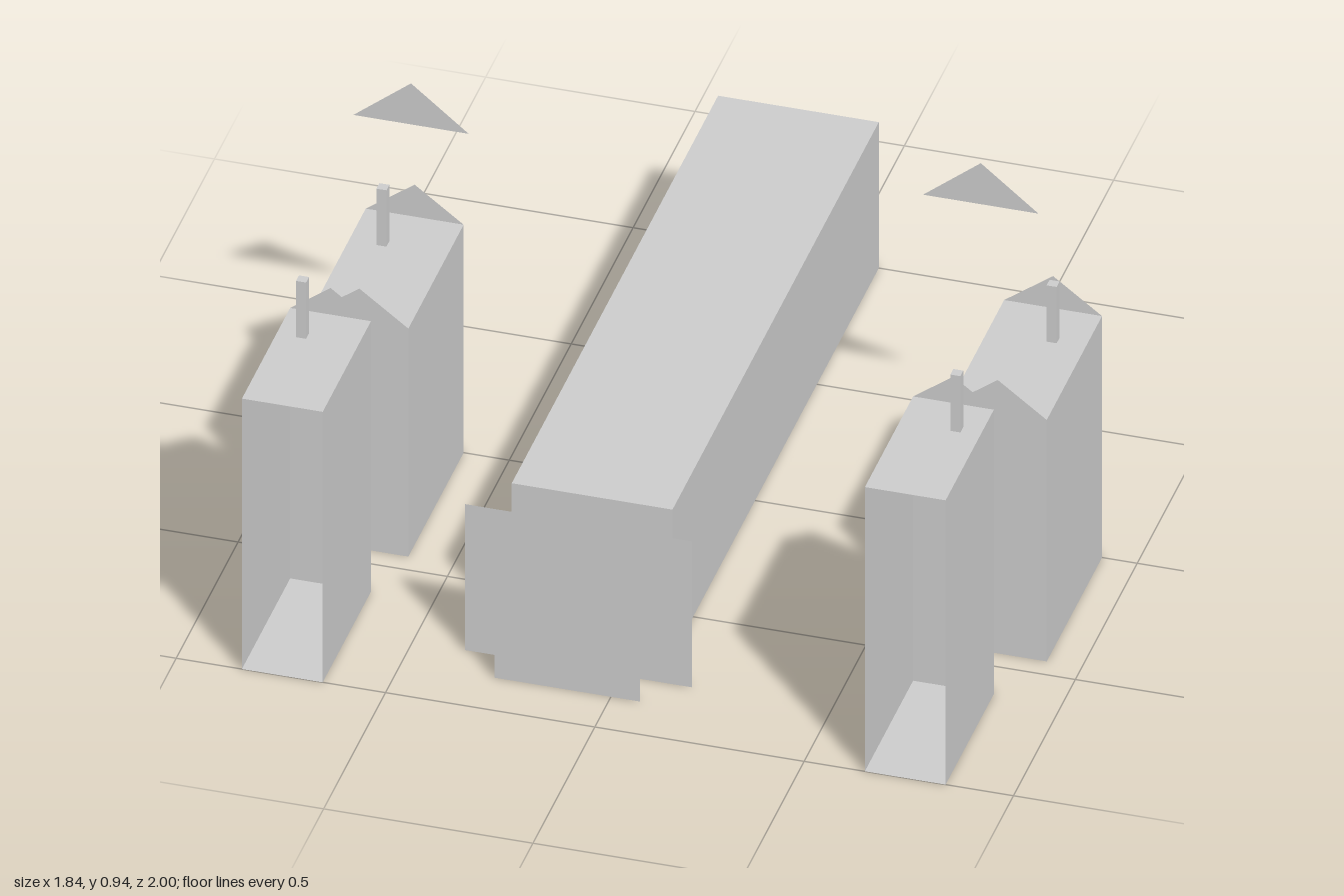
import * as THREE from 'three';

const material = new THREE.MeshStandardMaterial({
  color: 0xcccccc, flatShading: true, side: THREE.DoubleSide,
});

function part(geometry, name, parent) {
  const mesh = new THREE.Mesh(geometry, material);
  mesh.name = name;
  parent.add(mesh);
  return mesh;
}

// Rectangular tube along z: floor, roof and two side walls, both ends open
function tube(name, x0, x1, height, z0, z1, parent) {
  const geometry = new THREE.BoxGeometry(x1 - x0, height, z1 - z0);
  geometry.setIndex(Array.from(geometry.index.array).slice(0, 24));
  geometry.clearGroups();
  part(geometry, name, parent).position.set((x0 + x1) / 2, height / 2, (z0 + z1) / 2);
}

// Flat upright panel at depth z, from a list of [x, y] corners
function panel(name, corners, z, parent) {
  const shape = new THREE.Shape(corners.map(([x, y]) => new THREE.Vector2(x, y)));
  part(new THREE.ShapeGeometry(shape), name, parent).position.z = z;
}

const rectangle = (x0, x1, h) => [[x0, 0], [x1, 0], [x1, h], [x0, h]];

// Flat-roofed house with pentagonal gable walls at the given depths and a chimney
function house({ name, x0, x1, height, peak, z0, z1, gables, chimney }, parent) {
  const group = new THREE.Group();
  group.name = name;
  tube('houseWalls', x0, x1, height, z0, z1, group);
  const outline = [[x0, 0], [x1, 0], [x1, height], [(x0 + x1) / 2, height + peak], [x0, height]];
  for (const z of gables) panel('gableWall', outline, z, group);
  part(new THREE.BoxGeometry(0.024, 0.155, 0.024), 'chimney', group)
    .position.set(chimney[0], height + 0.0775, chimney[1]);
  parent.add(group);
}

export function createModel() {
  const model = new THREE.Group();
  model.name = 'houseCluster';

  // Long central hall, closed in front and open at the back
  tube('hallWalls', -0.297, 0.087, 0.402, -1, 0.667, model);
  panel('hallFrontWall', rectangle(-0.297, 0.087, 0.402), 0.667, model);

  // Two free-standing panels before the hall
  panel('wideFrontPanel', rectangle(-0.375, 0.167, 0.402), 0.78, model);
  panel('narrowFrontPanel', rectangle(-0.278, 0.07, 0.4), 0.87, model);

  // Front houses are open to the front, rear houses have both gables
  const front = { z0: 0.61, z1: 1, gables: [0.61], peak: 0.073 };
  const rear = { z0: 0, z1: 0.447, gables: [0, 0.447], peak: 0.088 };
  house({ ...front, name: 'frontLeftHouse', x0: 0.645, x1: 0.838, height: 0.783, chimney: [0.779, 0.71] }, model);
  house({ ...front, name: 'frontRightHouse', x0: -0.843, x1: -0.65, height: 0.745, chimney: [-0.784, 0.71] }, model);
  house({ ...rear, name: 'rearLeftHouse', x0: 0.682, x1: 0.916, height: 0.665, chimney: [0.836, 0.125] }, model);
  house({ ...rear, name: 'rearRightHouse', x0: -0.843, x1: -0.609, height: 0.628, chimney: [-0.765, 0.125] }, model);

  // Floating triangular gables
  for (const [name, x, y] of [['leftFloatingGable', 0.576, 0.8], ['rightFloatingGable', -0.785, 0.762]]) {
    panel(name, [[x - 0.138, y], [x + 0.138, y], [x, y + 0.113]], -0.17, model);
  }
  return model;
}
